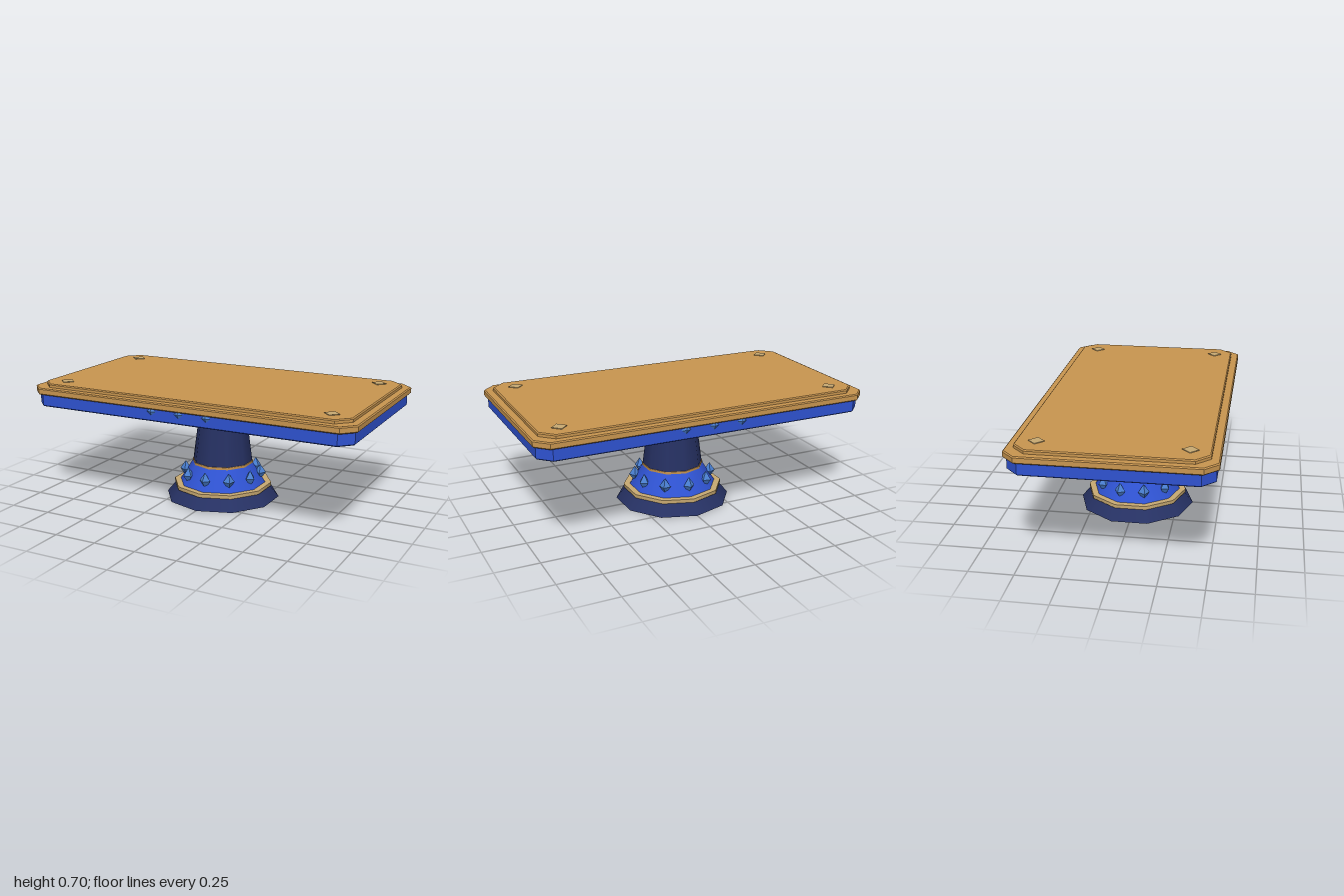
import * as THREE from 'three';

const paint = (name, color) => {
  const m = new THREE.MeshStandardMaterial({ color });
  m.name = name;
  return m;
};

export function createModel() {
  const gold = paint('gold', 0xc99650);
  const paleGold = paint('paleGold', 0xc9aa72);
  const blue = paint('blue', 0x2f53d2);
  const navy = paint('navy', 0x263163);
  const crystal = paint('crystal', 0x4a80d2);
  crystal.flatShading = true;

  const model = new THREE.Group();
  model.name = 'pedestalTable';
  const add = (name, geometry, material, x = 0, y = 0, z = 0, parent = model) => {
    const mesh = new THREE.Mesh(geometry, material);
    mesh.name = name;
    mesh.position.set(x, y, z);
    parent.add(mesh);
    return mesh;
  };

  // Ten-sided pedestal tiers, stacked from the floor up
  const tier = (name, y0, y1, r0, r1, material) =>
    add(name, new THREE.CylinderGeometry(r1, r0, y1 - y0, 10), material, 0, (y0 + y1) / 2, 0);
  tier('foot', 0, 0.07, 0.342, 0.284, navy);
  tier('footRing', 0.067, 0.088, 0.296, 0.296, paleGold);
  tier('collar', 0.08, 0.21, 0.264, 0.182, blue);
  tier('collarRing', 0.205, 0.221, 0.184, 0.184, gold);
  tier('shaft', 0.21, 0.505, 0.181, 0.142, navy);
  tier('capital', 0.502, 0.564, 0.142, 0.224, gold);

  // Rectangular slabs with cut corners and a fine bevel
  const slab = (name, hx, hz, cut, y0, y1, material) => {
    const b = 0.006;
    const shape = new THREE.Shape([
      [hx, hz - cut], [hx - cut, hz], [cut - hx, hz], [-hx, hz - cut],
      [-hx, cut - hz], [cut - hx, -hz], [hx - cut, -hz], [hx, cut - hz],
    ].map(([x, z]) => new THREE.Vector2(x, z)));
    const geometry = new THREE.ExtrudeGeometry(shape, {
      depth: y1 - y0 - 2 * b, bevelThickness: b, bevelSize: b, bevelOffset: -b, bevelSegments: 1,
    });
    geometry.rotateX(-Math.PI / 2);
    return add(name, geometry, material, 0, y0 + b, 0);
  };
  slab('apron', 0.982, 0.531, 0.07, 0.562, 0.637, blue);
  slab('tabletop', 1, 0.546, 0.072, 0.633, 0.672, gold);
  slab('tabletopInset', 0.956, 0.501, 0.073, 0.665, 0.693, gold);

  const octahedron = (x, y, z) => new THREE.OctahedronGeometry(1).scale(x, y, z);

  // Crystals around the collar
  const collarCrystal = octahedron(0.034, 0.05, 0.034);
  for (let i = 0; i < 10; i++) {
    const a = (i * Math.PI) / 5;
    add('collarCrystal', collarCrystal, crystal, 0.228 * Math.sin(a), 0.15, 0.228 * Math.cos(a)).rotation.y = a;
  }

  // Small crystals on the front and back of the apron
  const apronCrystal = octahedron(0.028, 0.022, 0.011);
  for (const side of [-1, 1]) {
    for (const x of [-0.17, 0, 0.17]) add('apronCrystal', apronCrystal, crystal, x, 0.618, side * 0.531);
  }

  // Diamond inlays near the corners of the top
  const inlay = new THREE.CylinderGeometry(0.043, 0.043, 0.005, 4);
  for (const x of [-0.83, 0.83]) {
    for (const z of [-0.393, 0.393]) add('cornerInlay', inlay, paleGold, x, 0.6945, z);
  }

  return model;
}
